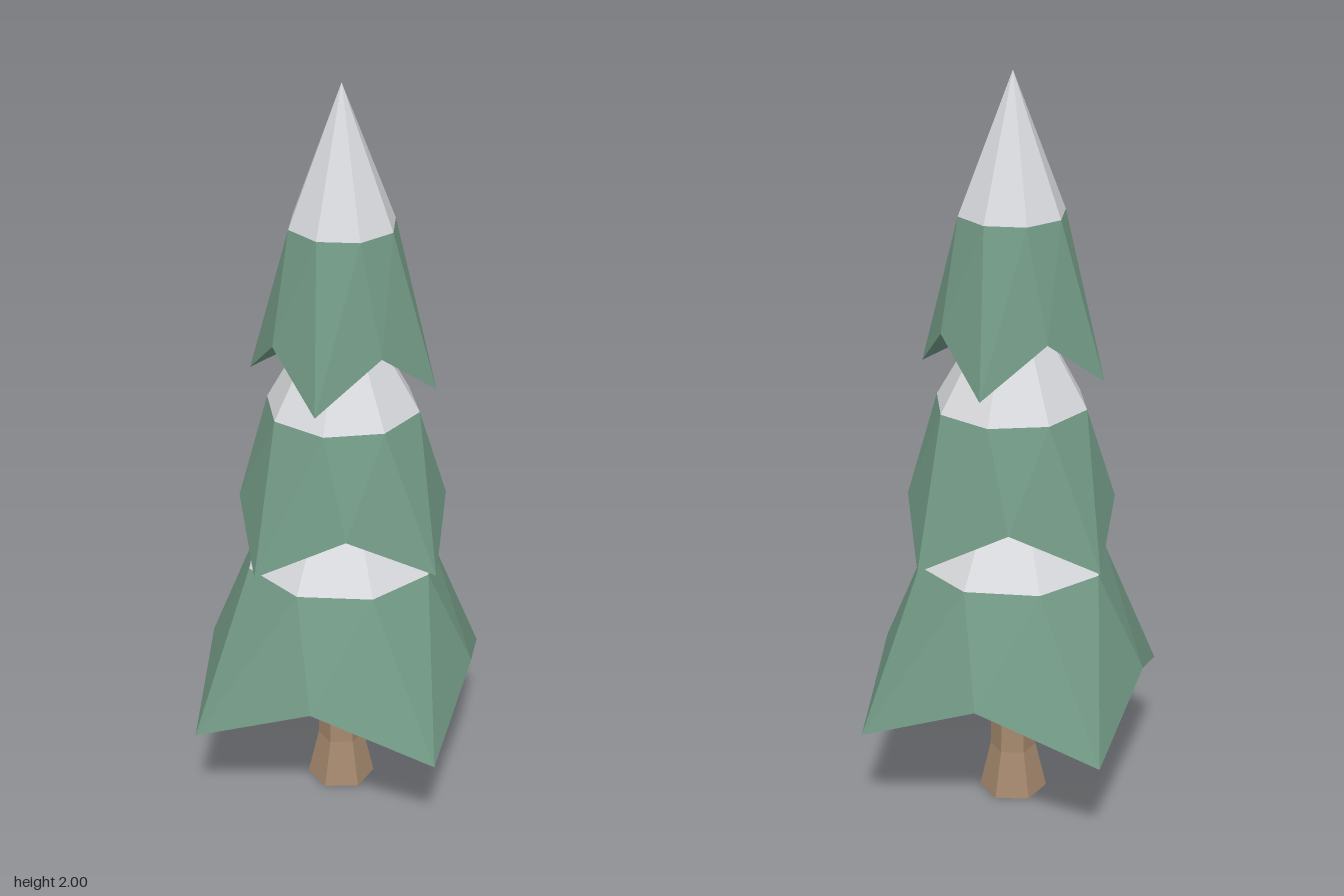
import * as THREE from 'three';

const green = new THREE.MeshStandardMaterial({ name: 'needleGreen', color: 0x739a86, flatShading: true });
const snow = new THREE.MeshStandardMaterial({ name: 'snowWhite', color: 0xd9dadd, flatShading: true });
const bark = new THREE.MeshStandardMaterial({ name: 'barkBrown', color: 0xa5886d, flatShading: true });

// Point on a circle around (cx, cz), angle in degrees from +x towards +z
function polar(r, deg, y, cx, cz) {
  const a = THREE.MathUtils.degToRad(deg);
  return new THREE.Vector3(cx + r * Math.cos(a), y, cz + r * Math.sin(a));
}

function facetMesh(name, triangles, material) {
  const geometry = new THREE.BufferGeometry().setFromPoints(triangles);
  geometry.computeVertexNormals();
  const mesh = new THREE.Mesh(geometry, material);
  mesh.name = name;
  return mesh;
}

// One tier of branches: jagged star hem, octagonal snow line, snowy cone
function makeTier(t) {
  const { cx, cz } = t;
  const hem = [], ring = [];
  for (let i = 0; i < 8; i++) {
    const tip = i % 2 === 1;
    hem.push(polar(tip ? t.tipR : t.valleyR, t.hemAngle + i * 45, tip ? t.tipY : t.valleyY, cx, cz));
    ring.push(polar(t.ringR, t.ringAngle + i * 45, t.ringY, cx, cz));
  }
  const apex = new THREE.Vector3(0, t.apexY, cz);
  const under = new THREE.Vector3(0, t.underY, 0);
  const skirt = [], cap = [];
  for (let i = 0; i < 8; i++) {
    const j = (i + 1) % 8;
    skirt.push(hem[i], ring[i], hem[j], ring[i], ring[j], hem[j]);
    skirt.push(hem[i], hem[j], under);
    cap.push(ring[i], apex, ring[j]);
  }
  const group = new THREE.Group();
  group.name = t.name;
  group.add(facetMesh('branches', skirt, green), facetMesh('snowCap', cap, snow));
  return group;
}

const tiers = [
  { name: 'lowerTier', cx: 0, cz: 0, tipR: 0.457, tipY: 0.28, valleyR: 0.36, valleyY: 0.415, hemAngle: 19,
    ringR: 0.256, ringY: 0.7, ringAngle: 32.5, apexY: 1.1, underY: 0.43 },
  { name: 'middleTier', cx: 0.005, cz: -0.004, tipR: 0.33, tipY: 0.76, valleyR: 0.272, valleyY: 0.88, hemAngle: 4.5,
    ringR: 0.203, ringY: 1.14, ringAngle: 20, apexY: 1.5, underY: 0.9 },
  { name: 'topTier', cx: 0.002, cz: 0.01, tipR: 0.248, tipY: 1.22, valleyR: 0.2, valleyY: 1.35, hemAngle: -23,
    ringR: 0.14, ringY: 1.64, ringAngle: -12, apexY: 2, underY: 1.37 },
];

export function createModel() {
  const tree = new THREE.Group();
  tree.name = 'snowyTree';

  // Six-sided trunk with a flared foot
  const profile = [[0, 0], [0.091, 0], [0.062, 0.13], [0.054, 0.45], [0, 0.45]].map(([r, y]) => new THREE.Vector2(r, y));
  const trunk = new THREE.Mesh(new THREE.LatheGeometry(profile, 6), bark);
  trunk.name = 'trunk';
  trunk.rotation.y = THREE.MathUtils.degToRad(25);
  tree.add(trunk);

  for (const t of tiers) tree.add(makeTier(t));
  return tree;
}
